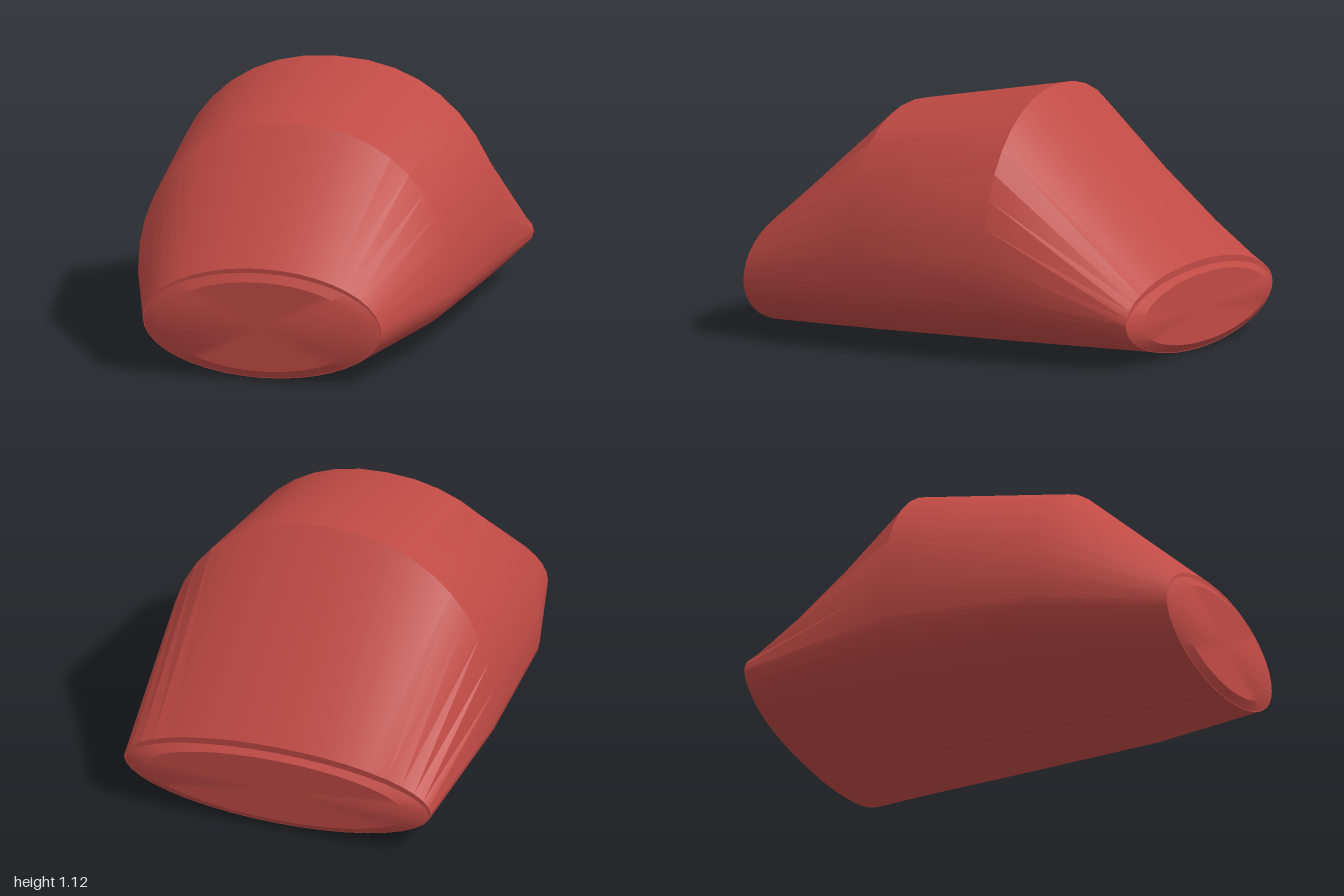
import * as THREE from 'three';
import { toCreasedNormals } from 'three/addons/utils/BufferGeometryUtils.js';

const SEGMENTS = 40;
const material = new THREE.MeshStandardMaterial({ color: 0xc04a45 });

// Closed outline: half width, bottom, widest height and top, with fullness of the upper arch
function ring({ z, w, bottom, mid, top, full = 2 }) {
  return Array.from({ length: SEGMENTS }, (_, i) => {
    const a = (i / SEGMENTS) * Math.PI * 2;
    const c = Math.cos(a), s = Math.sin(a);
    const p = s > 0 ? 2 / full : 1;
    const x = w * Math.sign(c) * Math.pow(Math.abs(c), p);
    const y = s > 0 ? mid + (top - mid) * Math.pow(s, p) : mid + (mid - bottom) * s;
    return [x, y, z];
  });
}

// Straight skin through outlines listed from front to back
function loft(name, sections) {
  const rings = sections.map(ring);
  const positions = [];
  for (let k = 0; k < rings.length - 1; k++) {
    for (let i = 0; i < SEGMENTS; i++) {
      const j = (i + 1) % SEGMENTS;
      const a = rings[k][i], b = rings[k][j];
      const c = rings[k + 1][i], d = rings[k + 1][j];
      if (sections[k].w > 0) positions.push(...a, ...c, ...b);
      if (sections[k + 1].w > 0) positions.push(...b, ...c, ...d);
    }
  }
  const geometry = new THREE.BufferGeometry();
  geometry.setAttribute('position', new THREE.Float32BufferAttribute(positions, 3));
  const mesh = new THREE.Mesh(toCreasedNormals(geometry, 0.5), material);
  mesh.name = name;
  return mesh;
}

export function createModel() {
  const model = new THREE.Group();
  model.name = 'taperedHousing';

  // Outlines where the body meets the bevelled end caps
  const frontSeat = { z: 0.975, w: 0.53, bottom: 0.008, mid: 0.24, top: 0.475 };
  const backSeat = { z: -0.97, w: 0.7, bottom: 0.008, mid: 0.19, top: 0.36 };

  // Body with narrow flat rims at both ends
  model.add(loft('body', [
    frontSeat,
    { z: 0.975, w: 0.535, bottom: 0.005, mid: 0.24, top: 0.495 },
    { z: 0.41, w: 0.705, bottom: 0.003, mid: 0.29, top: 1.0, full: 2.15 },
    { z: -0.29, w: 0.76, bottom: 0, mid: 0.3, top: 1.12, full: 2.2 },
    { z: -0.97, w: 0.71, bottom: 0.005, mid: 0.2, top: 0.39 },
    backSeat,
  ]));

  // Bevelled front cap
  model.add(loft('frontCap', [
    { z: 1, w: 0, bottom: 0.24, mid: 0.24, top: 0.24 },
    { z: 1, w: 0.45, bottom: 0.04, mid: 0.24, top: 0.44 },
    frontSeat,
  ]));

  // Bevelled back cap
  model.add(loft('backCap', [
    backSeat,
    { z: -1, w: 0.6, bottom: 0.04, mid: 0.19, top: 0.34 },
    { z: -1, w: 0, bottom: 0.19, mid: 0.19, top: 0.19 },
  ]));

  return model;
}
